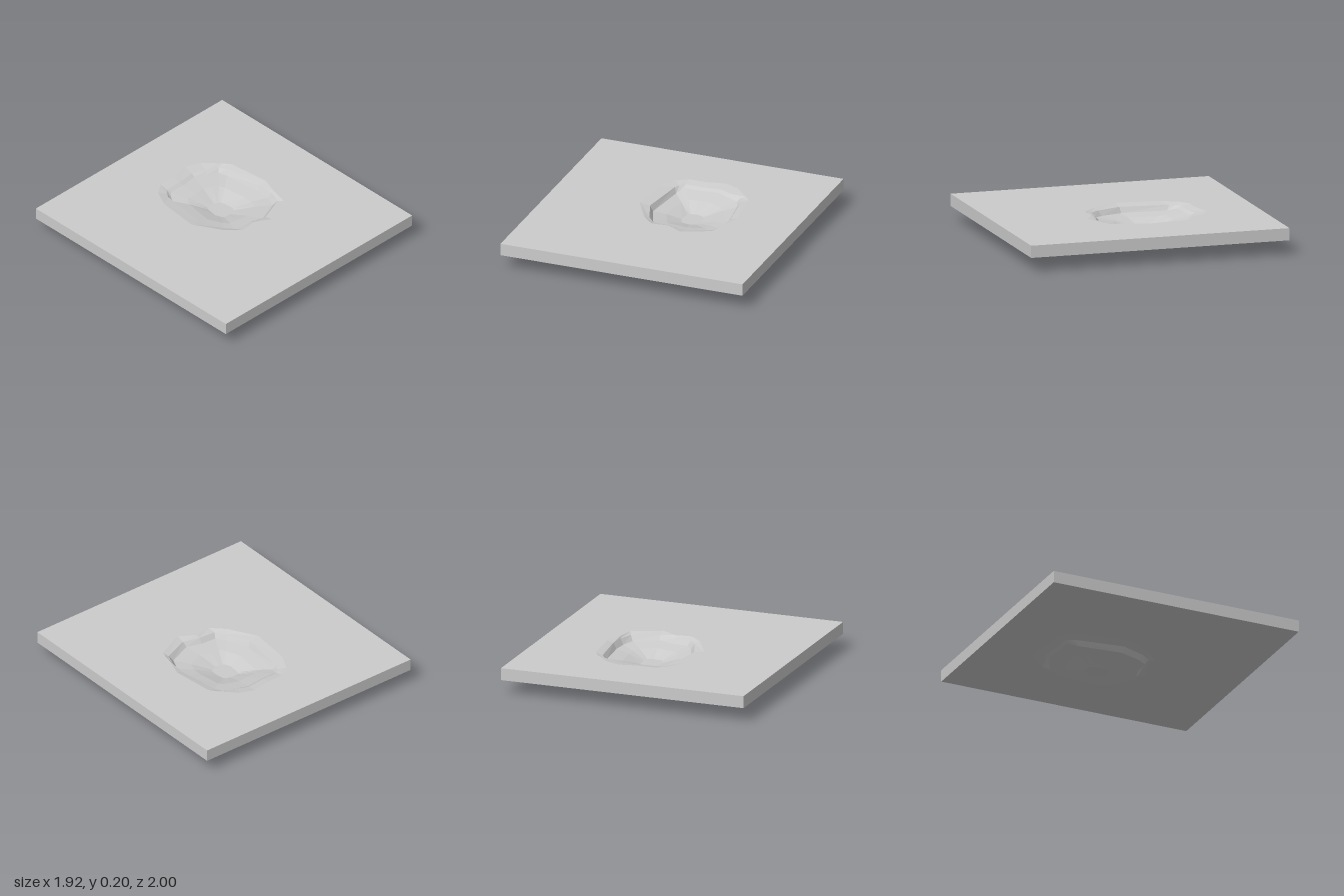
import * as THREE from 'three';

const TOP = 0.2, THICK = 0.092, BOTTOM = TOP - THICK;
const HALF_X = 0.96, HALF_Z = 1;

// Outlines as [x, z], running left, back, right, front
const rim = [
  [-0.28, -0.06], [-0.245, -0.38], [-0.18, -0.51], [-0.095, -0.57],
  [0.04, -0.57], [0.19, -0.6], [0.3, -0.555], [0.41, -0.44],
  [0.455, -0.38], [0.49, -0.06], [0.44, 0.08], [0.41, 0.21],
  [0.19, 0.31], [0.07, 0.24], [-0.06, 0.255], [-0.16, 0.155],
];
const lip = [
  [-0.2, -0.06], [-0.15, -0.43], [-0.13, -0.47], [-0.095, -0.505],
  [0.04, -0.505], [0.18, -0.52], [0.28, -0.475], [0.37, -0.435],
  [0.4, -0.37], [0.44, -0.06], [0.43, 0.06], [0.39, 0.165],
  [0.19, 0.245], [0.06, 0.21], [-0.07, 0.2], [-0.125, 0.13],
];
// Height of the foot of the steep wall: shallower at the back
const footY = [0.143, 0.15, 0.16, 0.17, 0.17, 0.17, 0.165, 0.16,
  0.15, 0.143, 0.143, 0.15, 0.155, 0.15, 0.15, 0.147];

const CX = 0.1, CZ = -0.14;
const shrink = (loop, t) => loop.map(([x, z]) => [CX + (x - CX) * t, CZ + (z - CZ) * t]);
const at = (loop, y) => loop.map(([x, z], i) => [x, Array.isArray(y) ? y[i] : y, z]);

// Joins successive loops with bands of quads
function skin(loops, capped, flip) {
  const pos = [];
  const tri = (a, b, c) => pos.push(...a, ...(flip ? c : b), ...(flip ? b : c));
  for (let k = 0; k < loops.length - 1; k++) {
    const o = loops[k], n = loops[k + 1];
    o.forEach((p, i) => {
      const j = (i + 1) % o.length;
      tri(p, n[i], o[j]);
      tri(o[j], n[i], n[j]);
    });
  }
  if (capped) {
    const last = loops[loops.length - 1];
    const mid = [CX, last[0][1], CZ];
    last.forEach((p, i) => tri(p, mid, last[(i + 1) % last.length]));
  }
  const g = new THREE.BufferGeometry();
  g.setAttribute('position', new THREE.Float32BufferAttribute(pos, 3));
  g.computeVertexNormals();
  return g;
}

// Flat sheet with the dent cut out, facing up (1) or down (-1)
function sheet(y, facing) {
  const pts = (loop) => loop.map(([x, z]) => new THREE.Vector2(x, -z * facing));
  const shape = new THREE.Shape(pts(border));
  shape.holes.push(new THREE.Path(pts(rim)));
  const g = new THREE.ShapeGeometry(shape);
  g.rotateX(-facing * Math.PI / 2);
  g.translate(0, y, 0);
  return g;
}

const border = [[-HALF_X, HALF_Z], [-HALF_X, -HALF_Z], [HALF_X, -HALF_Z], [HALF_X, HALF_Z]];

export function createModel() {
  const model = new THREE.Group();
  model.name = 'dentedSlab';
  const material = new THREE.MeshStandardMaterial({ color: 0xcccccc, flatShading: true });
  const add = (name, geometry) => {
    const mesh = new THREE.Mesh(geometry, material);
    mesh.name = name;
    model.add(mesh);
  };

  // Slab faces and edges
  add('slabTop', sheet(TOP, 1));
  add('slabUnderside', sheet(BOTTOM, -1));
  add('slabEdges', skin([at(border, TOP), at(border, BOTTOM)], false, true));

  // Sunken bowl: sloping rim, steep wall, shallow bowl, flat floor
  const foot = shrink(lip, 0.92);
  const bowl = [
    at(rim, TOP),
    at(lip, TOP - 0.014),
    at(foot, footY),
    at(shrink(lip, 0.6), footY.map((y) => 0.6 * y + 0.4 * 0.1)),
    at(shrink(lip, 0.24), THICK),
  ];
  add('dent', skin(bowl, true, false));

  // Matching bulge below, one slab thickness lower
  const bulge = bowl.map((loop) => loop.map(([x, y, z]) => [x, y - THICK, z]));
  add('bulge', skin(bulge, true, true));

  return model;
}
